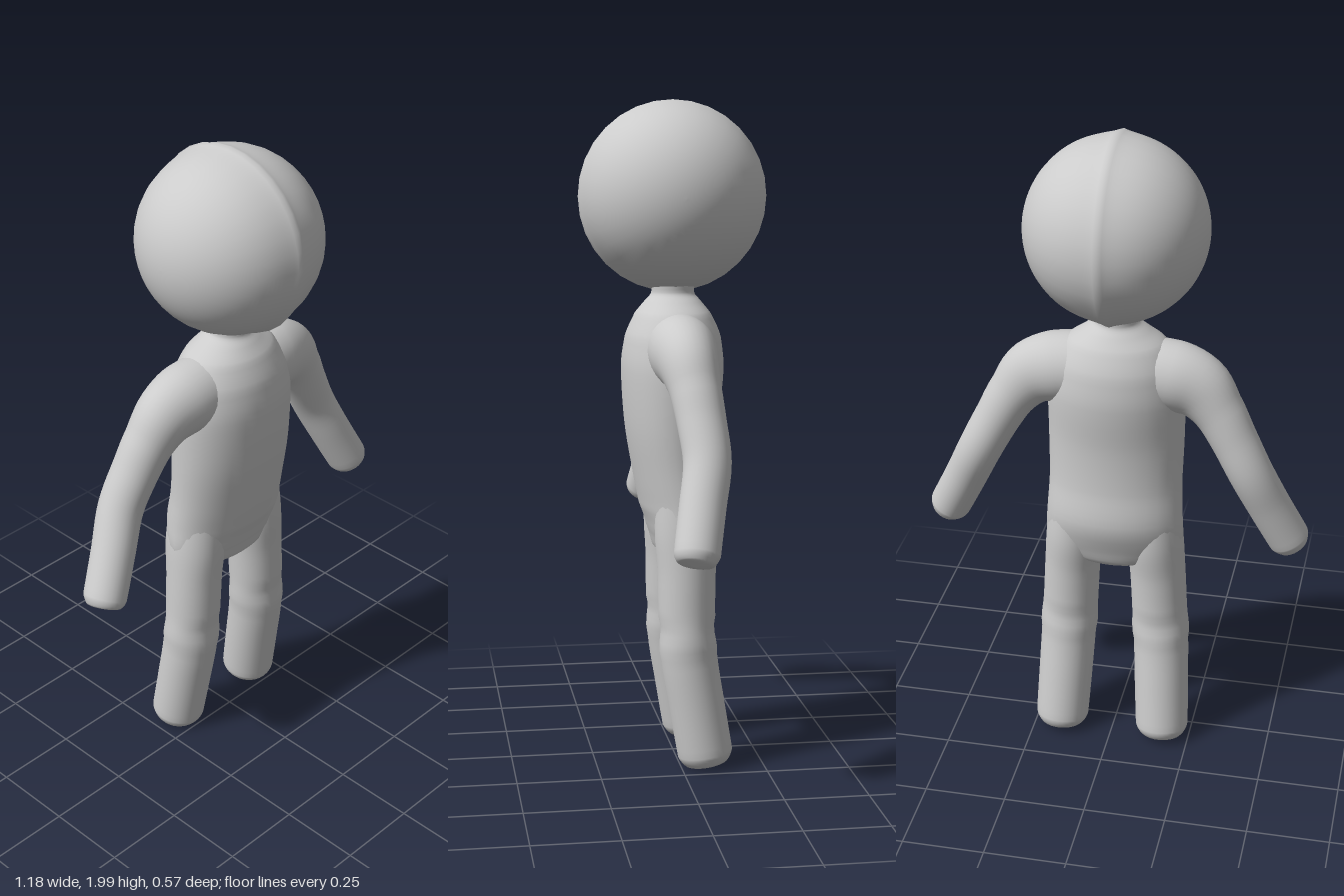
import * as THREE from 'three';

const material = new THREE.MeshStandardMaterial({ color: 0xcccccc });

// Smooth skin through elliptical sections [x, y, z, radius across, radius in depth]
function loft(name, sections, side = 1, steps = 5, segments = 32) {
  const path = new THREE.CatmullRomCurve3(sections.map(s => new THREE.Vector3(s[0] * side, s[1], s[2])));
  const radii = new THREE.CatmullRomCurve3(sections.map(s => new THREE.Vector3(s[3], s[4], 0)));
  const rings = (sections.length - 1) * steps;
  const positions = [], index = [];
  for (let i = 0; i <= rings; i++) {
    const t = i / rings;
    const centre = path.getPoint(t), r = radii.getPoint(t), tangent = path.getTangent(t);
    const depth = new THREE.Vector3(0, 0, 1).addScaledVector(tangent, -tangent.z).normalize();
    const across = new THREE.Vector3().crossVectors(depth, tangent);
    for (let j = 0; j < segments; j++) {
      const angle = (j / segments) * Math.PI * 2;
      const p = centre.clone()
        .addScaledVector(across, Math.cos(angle) * Math.max(r.x, 0))
        .addScaledVector(depth, Math.sin(angle) * Math.max(r.y, 0));
      positions.push(p.x, p.y, p.z);
      if (i < rings) {
        const a = i * segments + j, b = i * segments + (j + 1) % segments;
        index.push(a, b, a + segments, b, b + segments, a + segments);
      }
    }
  }
  const geometry = new THREE.BufferGeometry();
  geometry.setAttribute('position', new THREE.Float32BufferAttribute(positions, 3));
  geometry.setIndex(index);
  geometry.computeVertexNormals();
  const mesh = new THREE.Mesh(geometry, material);
  mesh.name = name;
  return mesh;
}

// Ball head turned about the x axis, with a thin raised seam down the middle
function createHead() {
  const profile = [];
  const n = 64;
  for (let i = 0; i <= n; i++) {
    const a = (i / n - 0.5) * Math.PI;
    const x = 0.27 * Math.sin(a);
    const seam = 0.011 * Math.exp(-Math.abs(x) / 0.025);
    profile.push(new THREE.Vector2(Math.max(0, 0.272 * Math.cos(a) + seam), x));
  }
  const geometry = new THREE.LatheGeometry(profile, 32);
  geometry.rotateZ(Math.PI / 2);
  const head = new THREE.Mesh(geometry, material);
  head.name = 'head';
  head.position.y = 1.717;
  return head;
}

export function createModel() {
  const model = new THREE.Group();
  model.name = 'figure';
  model.add(createHead());

  // Neck, chest, belly and hips
  model.add(loft('torso', [
    [0, 1.48, 0, 0.068, 0.066],
    [0, 1.435, 0, 0.066, 0.064],
    [0, 1.405, 0, 0.1, 0.085],
    [0, 1.37, 0, 0.15, 0.113],
    [0, 1.3, 0, 0.19, 0.143],
    [0, 1.2, 0.002, 0.207, 0.153],
    [0, 1.05, 0.004, 0.207, 0.142],
    [0, 0.9, -0.01, 0.205, 0.131],
    [0, 0.8, -0.026, 0.21, 0.128],
    [0, 0.72, -0.026, 0.212, 0.105],
    [0, 0.66, -0.024, 0.165, 0.085],
    [0, 0.635, -0.023, 0.1, 0.055],
    [0, 0.627, -0.023, 0, 0],
  ]));

  for (const [label, side] of [['left', 1], ['right', -1]]) {
    // Shoulder, bent elbow and blunt hand
    model.add(loft(label + 'Arm', [
      [0.04, 1.27, 0, 0.105, 0.1],
      [0.17, 1.268, -0.005, 0.108, 0.1],
      [0.25, 1.24, -0.01, 0.1, 0.087],
      [0.31, 1.175, -0.02, 0.078, 0.075],
      [0.36, 1.09, -0.03, 0.07, 0.071],
      [0.415, 0.985, -0.037, 0.067, 0.069],
      [0.47, 0.87, -0.015, 0.065, 0.067],
      [0.532, 0.747, 0.01, 0.064, 0.066],
      [0.545, 0.722, 0.014, 0.05, 0.051],
      [0.549, 0.714, 0.016, 0, 0],
    ], side));

    // Thigh, knee and rounded foot
    model.add(loft(label + 'Leg', [
      [0.115, 0.86, -0.022, 0.08, 0.09],
      [0.125, 0.72, -0.024, 0.088, 0.096],
      [0.135, 0.6, -0.022, 0.086, 0.087],
      [0.142, 0.47, -0.022, 0.086, 0.085],
      [0.149, 0.35, -0.027, 0.086, 0.085],
      [0.156, 0.2, -0.05, 0.085, 0.084],
      [0.163, 0.055, -0.074, 0.083, 0.083],
      [0.164, 0.024, -0.079, 0.066, 0.066],
      [0.164, 0.012, -0.081, 0, 0],
    ], side));
  }
  return model;
}
